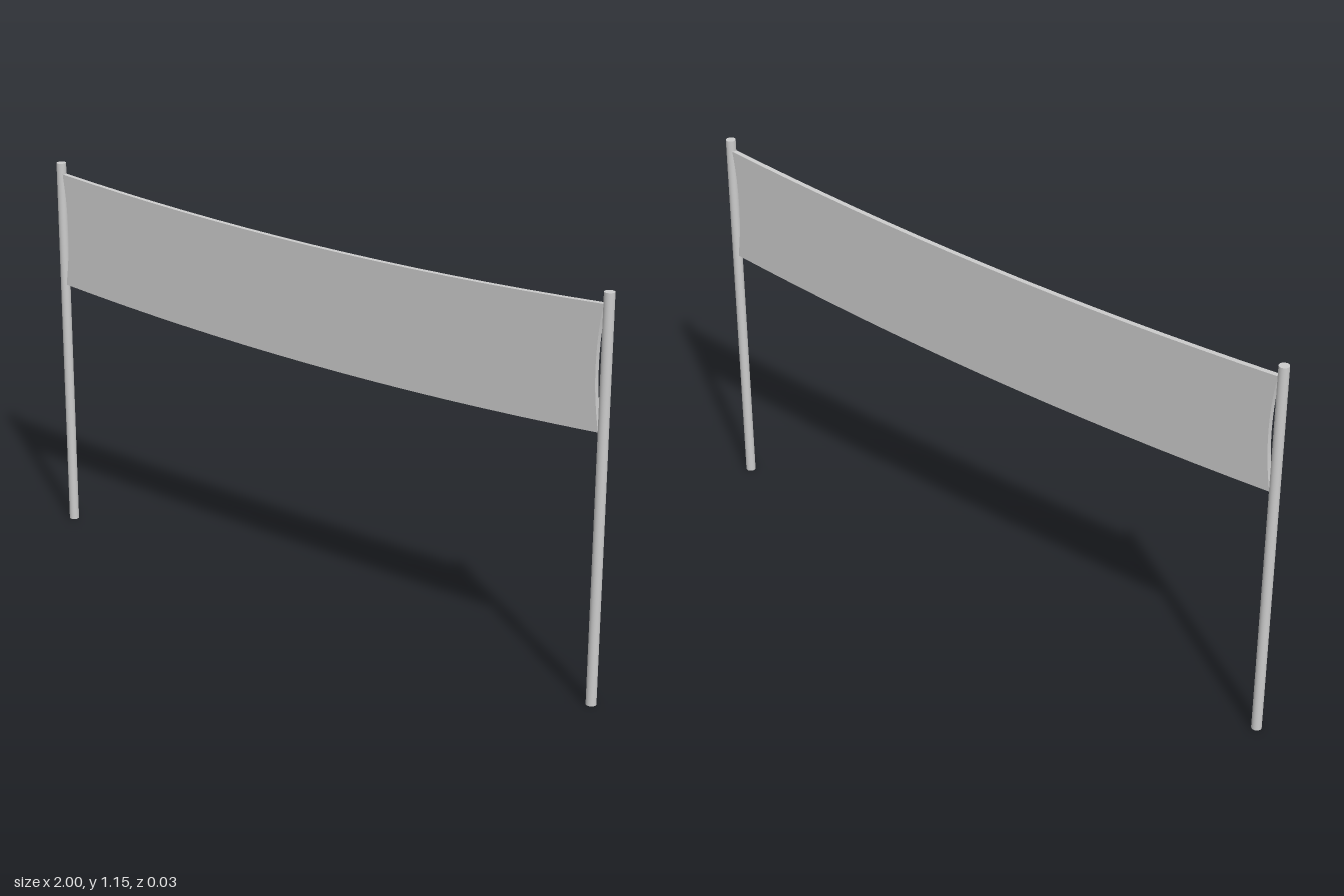
import * as THREE from 'three';

const HEIGHT = 1.155, RADIUS = 0.0145, POST_X = 0.9855;

export function createModel() {
  const model = new THREE.Group();
  const material = new THREE.MeshStandardMaterial({ color: 0xcccccc });

  // Two upright round posts
  const postGeometry = new THREE.CylinderGeometry(RADIUS, RADIUS, HEIGHT, 24);
  for (const [name, side] of [['leftPost', 1], ['rightPost', -1]]) {
    const post = new THREE.Mesh(postGeometry, material);
    post.name = name;
    post.position.set(side * POST_X, HEIGHT / 2, 0);
    model.add(post);
  }

  // Sagging banner, its ends bowed inward between the tied corners
  const x = 0.974, top = 1.122, bottom = 0.776, sag = 0.035, bow = 0.016;
  const middle = (top + bottom) / 2, depth = 0.015;
  const outline = new THREE.Shape();
  outline.moveTo(-x, bottom);
  outline.quadraticCurveTo(0, bottom - 2 * sag, x, bottom);
  outline.quadraticCurveTo(x - 2 * bow, middle, x, top);
  outline.quadraticCurveTo(0, top - 2 * sag, -x, top);
  outline.quadraticCurveTo(-x + 2 * bow, middle, -x, bottom);
  const bannerGeometry = new THREE.ExtrudeGeometry(outline, {
    depth, bevelEnabled: false, curveSegments: 16,
  });
  bannerGeometry.translate(0, 0, -depth / 2);
  const banner = new THREE.Mesh(bannerGeometry, material);
  banner.name = 'banner';
  model.add(banner);

  return model;
}
